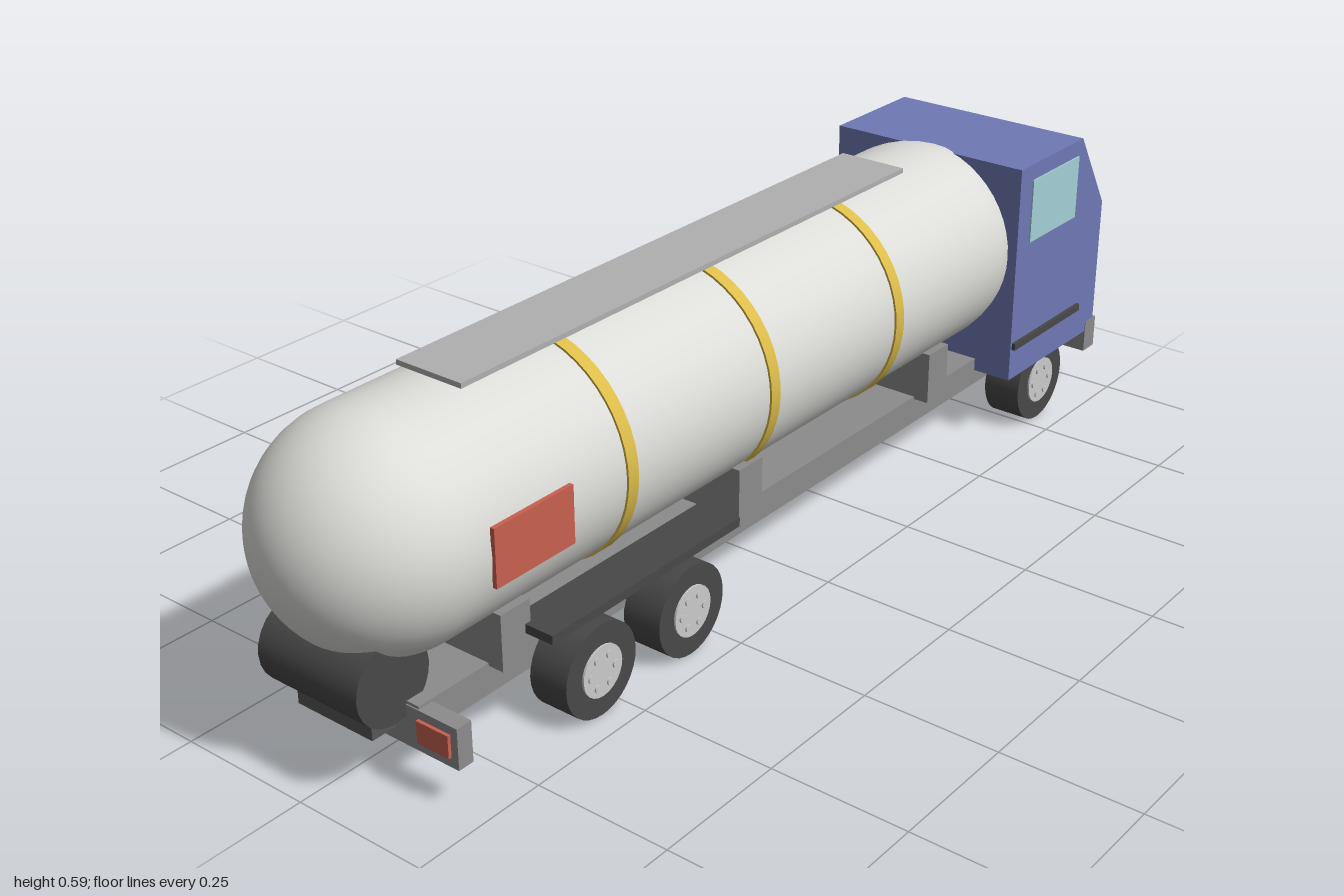
import * as THREE from 'three';

const material = (name, color) => {
  const m = new THREE.MeshStandardMaterial({ color });
  m.name = name;
  return m;
};

export function createModel() {
  const tankPaint = material('tank paint', 0xdcdcd8);
  const bandPaint = material('yellow band', 0xdcbc4a);
  const frameGrey = material('frame grey', 0x8c8c8c);
  const walkGrey = material('walkway grey', 0xb0b0b0);
  const red = material('red', 0xc8604f);
  const cabBlue = material('cab blue', 0x6f79b5);
  const glass = material('glass', 0xa3d0d6);
  const rubber = material('rubber', 0x484848);
  const grilleGrey = material('grille grey', 0x565656);
  const lightGrey = material('light grey', 0xcacaca);

  const truck = new THREE.Group();
  truck.name = 'tankerTruck';

  const add = (name, geometry, mat, x, y, z, parent = truck) => {
    const mesh = new THREE.Mesh(geometry, mat);
    mesh.name = name;
    mesh.position.set(x, y, z);
    parent.add(mesh);
    return mesh;
  };
  // Box given by its lower and upper limits on each axis
  const box = (name, mat, [x0, x1], [y0, y1], [z0, z1]) =>
    add(name, new THREE.BoxGeometry(x1 - x0, y1 - y0, z1 - z0), mat,
      (x0 + x1) / 2, (y0 + y1) / 2, (z0 + z1) / 2);
  // The same box on both sides of the truck
  const pair = (name, mat, xs, ys, [z0, z1]) => {
    box(name + 'Right', mat, xs, ys, [z0, z1]);
    box(name + 'Left', mat, xs, ys, [-z1, -z0]);
  };

  // Tank with domed ends, walkway and warning panel
  const tankY = 0.385;
  const tank = new THREE.CapsuleGeometry(0.198, 1.404, 20, 48).rotateZ(Math.PI / 2);
  add('tank', tank, tankPaint, -0.1, tankY, 0);
  box('walkway', walkGrey, [-0.685, 0.47], [0.583, 0.592], [-0.067, 0.067]);
  box('warningPanel', red, [-0.77, -0.6], [0.335, 0.435], [0.196, 0.204]);

  // Raised bands around the tank
  const bandGeometry = new THREE.CylinderGeometry(0.202, 0.202, 0.024, 48).rotateZ(Math.PI / 2);
  for (const x of [-0.46, -0.095, 0.273]) add('tankBand', bandGeometry, bandPaint, x, tankY, 0);

  // Chassis, saddles and bumpers
  box('chassis', frameGrey, [-0.87, 0.97], [0.1, 0.155], [-0.13, 0.13]);
  for (const x of [-0.69, -0.108, 0.475]) {
    box('tankSaddle', frameGrey, [x - 0.032, x + 0.032], [0.15, 0.25], [-0.16, 0.16]);
  }
  box('frontBumper', frameGrey, [0.96, 1], [0.085, 0.15], [-0.209, 0.209]);
  box('rearBumper', frameGrey, [-0.872, -0.842], [0.077, 0.15], [-0.209, 0.209]);
  pair('tailLight', red, [-0.878, -0.87], [0.095, 0.135], [0.13, 0.195]);

  // Hose reel at the back
  box('reelBracket', grilleGrey, [-0.92, -0.87], [0.1, 0.165], [-0.08, 0.08]);
  add('hoseReel', new THREE.CylinderGeometry(0.073, 0.073, 0.21, 24).rotateX(Math.PI / 2),
    rubber, -0.893, 0.2, 0);

  // Cab body from its side profile
  const profile = new THREE.Shape([
    [0.66, 0.13], [0.99, 0.13], [0.99, 0.405], [0.89, 0.565], [0.66, 0.565],
  ].map(([x, y]) => new THREE.Vector2(x, y)));
  const cab = new THREE.ExtrudeGeometry(profile, { depth: 0.416, bevelEnabled: false });
  add('cab', cab, cabBlue, 0, 0, -0.208);

  // Windows, grille, headlights and side trim
  const windshield = add('windshield', new THREE.BoxGeometry(0.008, 0.153, 0.374),
    glass, 0.941, 0.485, 0);
  windshield.rotation.z = Math.atan2(0.1, 0.16);
  pair('sideWindow', glass, [0.703, 0.875], [0.407, 0.533], [0.204, 0.211]);
  box('grille', grilleGrey, [0.987, 0.995], [0.158, 0.26], [-0.091, 0.091]);
  pair('headlight', lightGrey, [0.987, 0.996], [0.193, 0.225], [0.118, 0.184]);
  pair('cabTrim', rubber, [0.665, 0.915], [0.194, 0.208], [0.2, 0.215]);
  pair('mudguard', rubber, [-0.67, -0.21], [0.194, 0.21], [0.13, 0.215]);

  // Wheels with hubs and wheel nuts, outer face toward local +z
  const disc = (r, depth, sides) =>
    new THREE.CylinderGeometry(r, r, depth, sides).rotateX(Math.PI / 2);
  const tyreGeometry = disc(0.083, 0.075, 32);
  const hubGeometry = disc(0.046, 0.006, 24);
  const nutGeometry = disc(0.007, 0.006, 8);
  for (const x of [-0.55, -0.325, 0.79]) {
    for (const side of [1, -1]) {
      const wheel = new THREE.Group();
      wheel.name = 'wheel';
      wheel.position.set(x, 0.083, side * 0.167);
      wheel.rotation.y = side > 0 ? 0 : Math.PI;
      truck.add(wheel);
      add('tyre', tyreGeometry, rubber, 0, 0, 0, wheel);
      add('hub', hubGeometry, lightGrey, 0, 0, 0.038, wheel);
      for (let i = 0; i < 6; i++) {
        const a = (i / 6) * Math.PI * 2;
        add('wheelNut', nutGeometry, lightGrey,
          0.029 * Math.cos(a), 0.029 * Math.sin(a), 0.041, wheel);
      }
    }
  }
  return truck;
}
